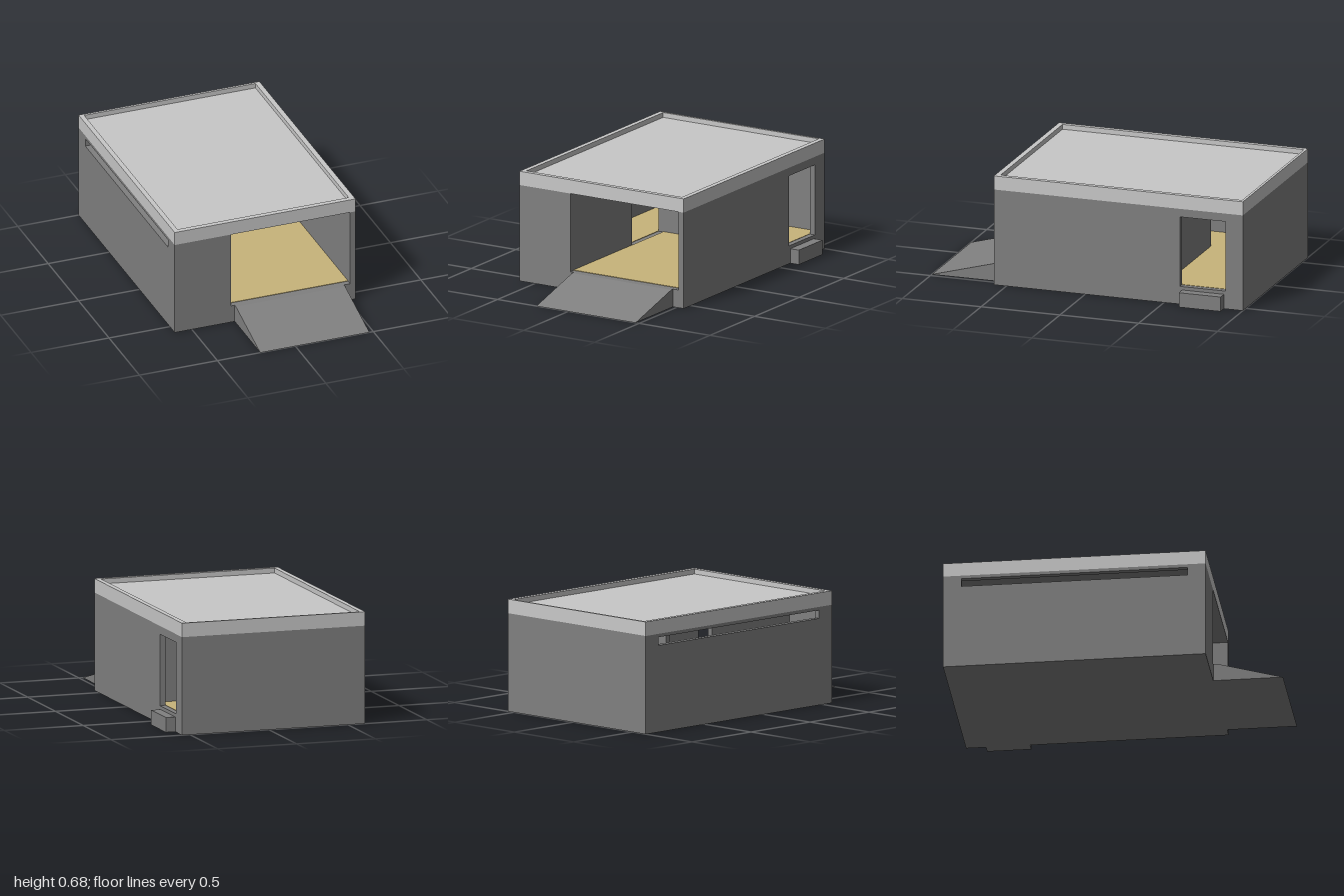
import * as THREE from 'three';

const material = (name, color) => {
  const m = new THREE.MeshStandardMaterial({ color });
  m.name = name;
  return m;
};

export function createModel() {
  const model = new THREE.Group();
  model.name = 'building';
  const concrete = material('concrete grey', 0x808080);
  const pale = material('pale roof grey', 0xc8c8c8);
  const wood = material('floor tan', 0xc8b47a);

  const add = (name, geometry, mat) => {
    const mesh = new THREE.Mesh(geometry, mat);
    mesh.name = name;
    model.add(mesh);
    return mesh;
  };
  // Box given by its ranges along x, y and z
  const box = (name, mat, x0, x1, y0, y1, z0, z1) =>
    add(name, new THREE.BoxGeometry(x1 - x0, y1 - y0, z1 - z0)
      .translate((x0 + x1) / 2, (y0 + y1) / 2, (z0 + z1) / 2), mat);
  // Rectangle path, and a profile in (z, y) extruded between two x values
  const rect = (Type, a0, a1, b0, b1) => new Type([[a0, b0], [a1, b0], [a1, b1], [a0, b1]]
    .map(([a, b]) => new THREE.Vector2(a, b)));
  const extrudeX = (shape, x0, x1) =>
    new THREE.ExtrudeGeometry(shape, { depth: x1 - x0, bevelEnabled: false })
      .rotateY(-Math.PI / 2).translate(x1, 0, 0);

  const X0 = -0.61, X1 = 0.55, Z0 = -1, Z1 = 0.58; // outer footprint
  const T = 0.035;                                // wall thickness
  const F = 0.11, C = 0.595, H = 0.68;            // floor, ceiling, top
  const P = -0.25;                                // partition's inner face
  const D = 0.545;                                // door head height

  box('foundation', concrete, X0, X1, 0, F, Z0, Z1);

  // Side walls: long slit window on one, doorway on the other
  const sideWall = (name, x, hole) => {
    const shape = rect(THREE.Shape, Z0, Z1, F, C);
    shape.holes.push(rect(THREE.Path, ...hole));
    add(name, extrudeX(shape, x, x + T), concrete);
  };
  sideWall('rightWall', X0, [-0.89, 0.47, 0.525, 0.575]);
  sideWall('leftWall', X1 - T, [-0.89, -0.6, F + 0.001, D]);

  // Back wall and the closed part of the front
  box('backWall', concrete, X0 + T, X1 - T, F, C, Z0, Z0 + T);
  box('frontWall', concrete, X0 + T, P, F, C, Z1 - T, Z1);

  // Inner partitions, with a doorway between hall and corridor
  box('partition', concrete, P - T, P, F, C, -0.11, Z1 - T);
  box('partitionLintel', concrete, P - T, P, D, C, -0.465, -0.11);
  box('crossWall', concrete, P - T, X1 - T, F, C, -0.5, -0.465);

  // Thin floor plates, leaving bare thresholds
  const plate = (name, x0, x1, z0, z1) => box(name, wood, x0, x1, F, F + 0.003, z0, z1);
  plate('hallFloor', P, X1 - T, -0.465, Z1 - T);
  plate('corridorFloor', X0 + T, P - T, -0.5, Z1 - T);
  plate('backRoomFloor', X0 + T, X1 - T, Z0 + T, -0.5);

  // Roof slab with a grey ceiling, and the parapet around it
  box('roofSlab', [pale, pale, pale, concrete, pale, pale], X0, X1, C, 0.65, Z0, Z1);
  const rim = rect(THREE.Shape, X0, X1, -Z1, -Z0);
  rim.holes.push(rect(THREE.Path, X0 + 0.03, X1 - 0.032, -Z1 + 0.032, -Z0 - 0.016));
  add('parapet', new THREE.ExtrudeGeometry(rim, { depth: H - 0.65, bevelEnabled: false })
    .rotateX(-Math.PI / 2).translate(0, 0.65, 0), pale);

  // Entrance ramp and the step at the side door
  const ramp = new THREE.Shape([[Z1, 0], [1, 0], [0.6, F], [Z1, F]]
    .map(([z, y]) => new THREE.Vector2(z, y)));
  add('ramp', extrudeX(ramp, -0.225, 0.475), concrete);
  box('sideStep', concrete, X1, 0.61, 0, 0.09, -0.88, -0.615);

  return model;
}
